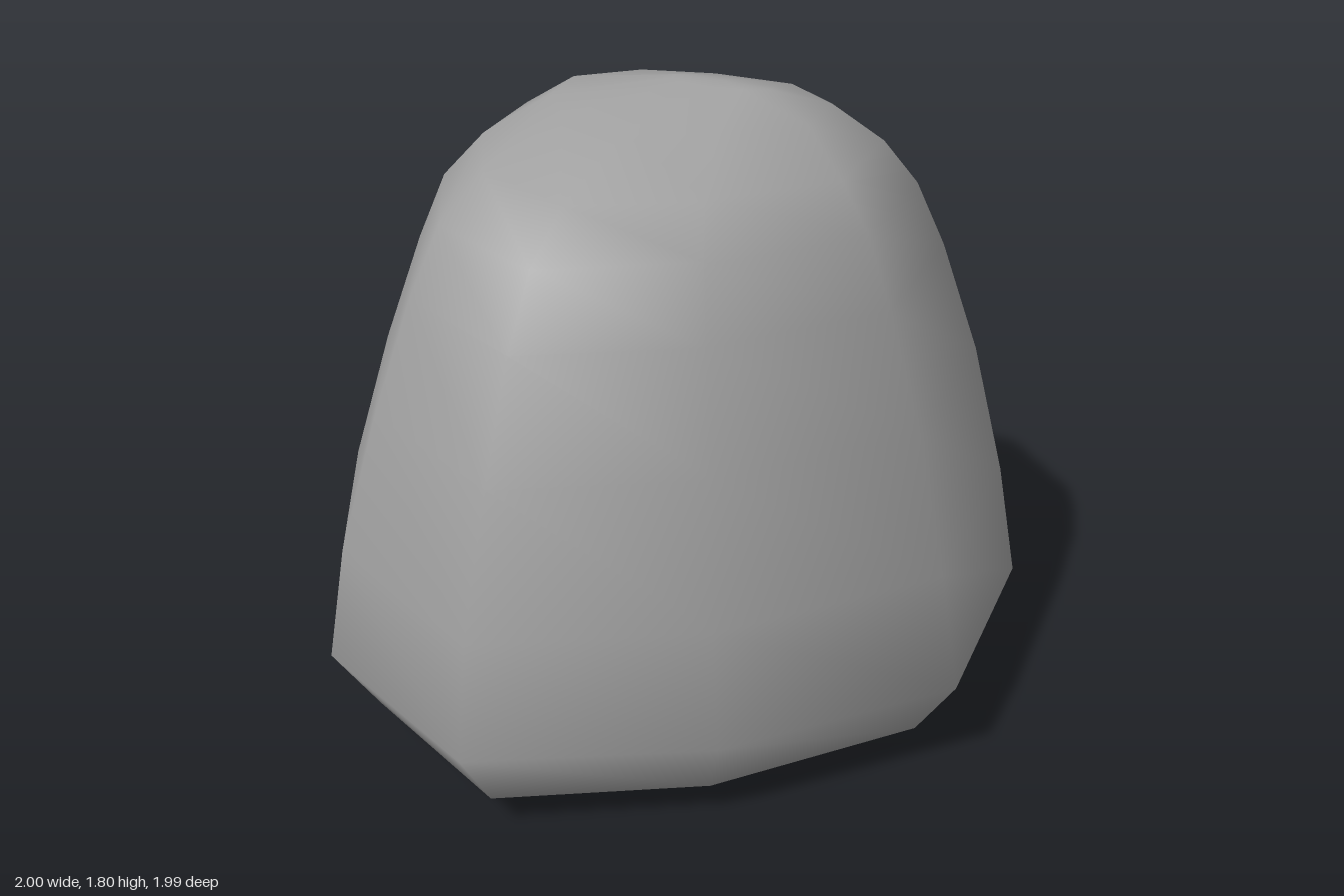
import * as THREE from 'three';

// Ten-sided plan of the boulder [x, z], running clockwise seen from above
const PLAN = [
  [-0.08, -1], [0.54, -0.98], [0.98, -0.54], [1, 0.14], [0.52, 0.67],
  [-0.06, 1], [-0.63, 0.74], [-0.94, 0.21], [-1, -0.36], [-0.62, -0.83],
];

// Cross-sections from the ground up: [y, xMin, xMax, zMin, zMax]
const RINGS = [
  [0.01, -0.45, 0.4, -0.42, 0.4],
  [0.04, -0.7, 0.74, -0.74, 0.74],
  [0.11, -0.85, 0.89, -0.9, 0.9],
  [0.29, -1, 1, -0.99, 1],
  [0.64, -0.91, 0.94, -0.93, 0.98],
  [1.03, -0.79, 0.84, -0.85, 0.87],
  [1.34, -0.68, 0.73, -0.77, 0.75],
  [1.52, -0.61, 0.65, -0.69, 0.63],
  [1.64, -0.5, 0.56, -0.59, 0.49],
  [1.745, -0.33, 0.43, -0.41, 0.2],
  [1.8, 0, 0.29, -0.21, -0.1],
];

function boulderGeometry() {
  const n = PLAN.length;
  const positions = [];
  const index = [];

  // Fit the plan to the bounds of every cross-section
  for (const [y, x0, x1, z0, z1] of RINGS) {
    for (const [px, pz] of PLAN) {
      positions.push(
        THREE.MathUtils.lerp(x0, x1, (px + 1) / 2),
        y,
        THREE.MathUtils.lerp(z0, z1, (pz + 1) / 2),
      );
    }
  }
  const bottom = RINGS.length * n;
  const top = bottom + 1;
  positions.push(0, 0, 0, 0.15, 1.805, -0.16);

  // Sides
  for (let r = 0; r < RINGS.length - 1; r++) {
    for (let i = 0; i < n; i++) {
      const a = r * n + i;
      const b = r * n + (i + 1) % n;
      index.push(a, a + n, b + n, a, b + n, b);
    }
  }
  // Underside and crown
  const last = (RINGS.length - 1) * n;
  for (let i = 0; i < n; i++) {
    const j = (i + 1) % n;
    index.push(i, j, bottom, last + i, top, last + j);
  }

  const geometry = new THREE.BufferGeometry();
  geometry.setAttribute('position', new THREE.Float32BufferAttribute(positions, 3));
  geometry.setIndex(index);
  geometry.computeVertexNormals();
  return geometry;
}

export function createModel() {
  const stone = new THREE.MeshStandardMaterial({ color: 0xa0a0a0 });
  stone.name = 'grey stone';

  const boulder = new THREE.Mesh(boulderGeometry(), stone);
  boulder.name = 'boulder';

  const model = new THREE.Group();
  model.name = 'rock';
  model.add(boulder);
  return model;
}
